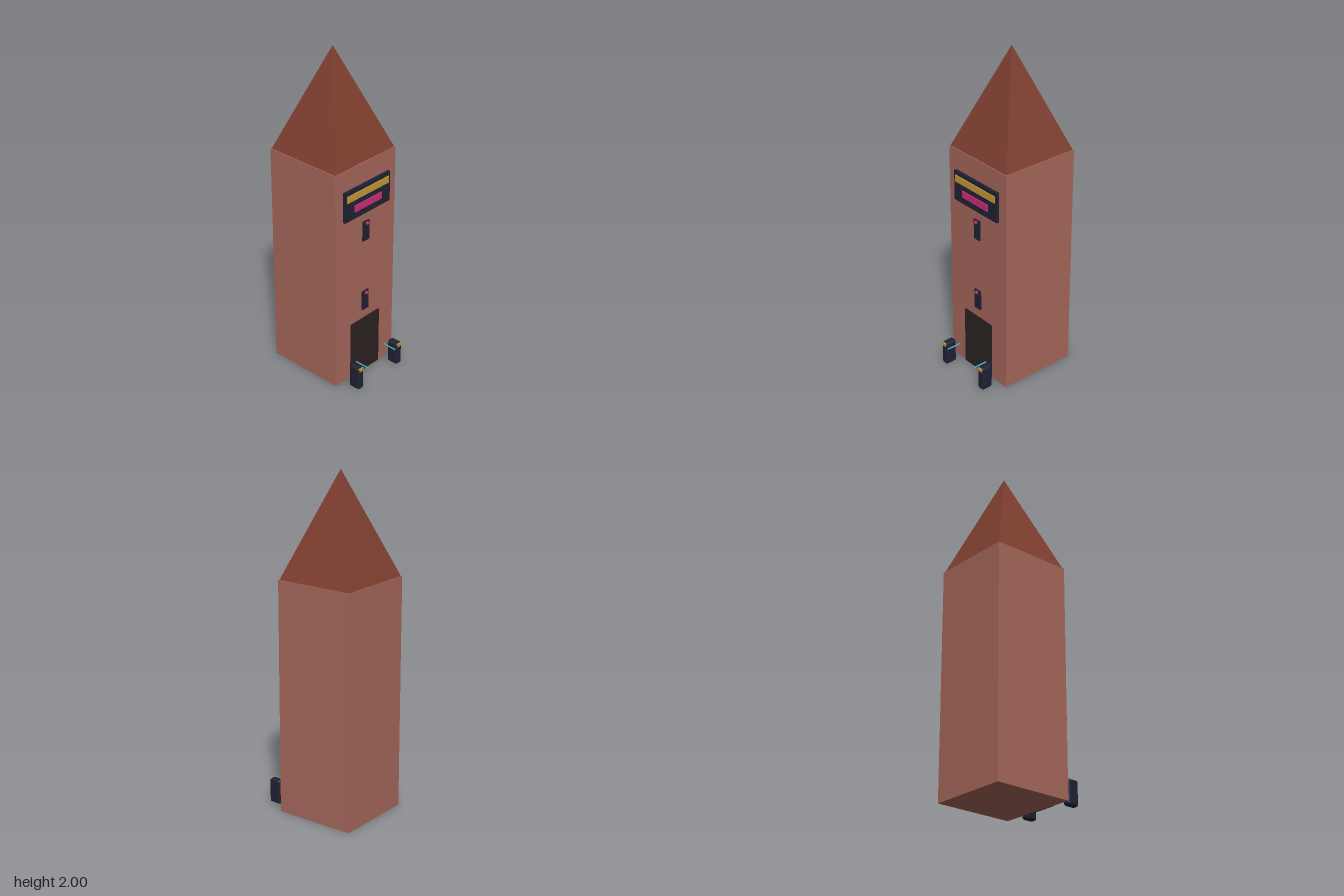
import * as THREE from 'three';
import { RoundedBoxGeometry } from 'three/addons/geometries/RoundedBoxGeometry.js';

const mat = (name, color) => {
  const m = new THREE.MeshStandardMaterial({ color });
  m.name = name;
  return m;
};

export function createModel() {
  const group = new THREE.Group();
  const brick = mat('brick', 0xa9695c);
  const tile = mat('roof tile', 0x7f3f30);
  const navy = mat('dark navy', 0x202235);
  const gold = mat('gold', 0xc99a3a);
  const pink = mat('pink', 0xcf2f7a);
  const lampRed = mat('lamp magenta', 0xa8245f);
  const doorBrown = mat('door brown', 0x2c2321);
  const cyan = mat('cyan', 0x40b8c6);

  const add = (name, geometry, material, x, y, z) => {
    const mesh = new THREE.Mesh(geometry, material);
    mesh.name = name;
    mesh.position.set(x, y, z);
    group.add(mesh);
    return mesh;
  };
  // Box given by its limits on each axis
  const box = (name, material, x0, x1, y0, y1, z0, z1) =>
    add(name, new THREE.BoxGeometry(x1 - x0, y1 - y0, z1 - z0), material,
      (x0 + x1) / 2, (y0 + y1) / 2, (z0 + z1) / 2);

  // Tower shaft and pyramid roof
  const wall = 0.176;
  box('towerShaft', brick, -0.316, wall, 0, 1.39, -0.246, 0.246);
  const roof = new THREE.ConeGeometry(0.241 * Math.SQRT2, 0.61, 4).toNonIndexed();
  roof.rotateY(Math.PI / 4);
  roof.computeVertexNormals();
  add('roof', roof, tile, -0.07, 1.695, 0);

  // Entrance and sign on the +x wall
  box('door', doorBrown, wall, 0.183, 0, 0.37, -0.121, 0.121);
  box('signBoard', navy, wall, 0.193, 1.08, 1.265, -0.185, 0.185);
  box('signGoldStrip', gold, 0.193, 0.199, 1.2, 1.241, -0.17, 0.17);
  box('signPinkStrip', pink, 0.193, 0.199, 1.122, 1.164, -0.111, 0.111);

  // Wall lamps
  for (const y of [0.43, 0.893]) {
    box('lampPlate', navy, wall, 0.185, y, y + 0.125, -0.025, 0.025);
    add('lampBulb', new THREE.SphereGeometry(0.012, 12, 8), lampRed, 0.191, y + 0.112, 0);
  }

  // Pair of entry gates with reader and barrier
  for (const s of [-1, 1]) {
    add('gateBody', new RoundedBoxGeometry(0.076, 0.15, 0.045, 3, 0.014), navy, 0.269, 0.08, s * 0.169);
    const reader = box('gateReader', gold, 0.302, 0.31, 0.132, 0.154, s * 0.169 - 0.015, s * 0.169 + 0.015);
    reader.rotation.z = -0.1;
    box('gateBarrier', cyan, 0.223, 0.314, 0.132, 0.138, s * 0.122 - 0.003, s * 0.122 + 0.003);
  }
  return group;
}
